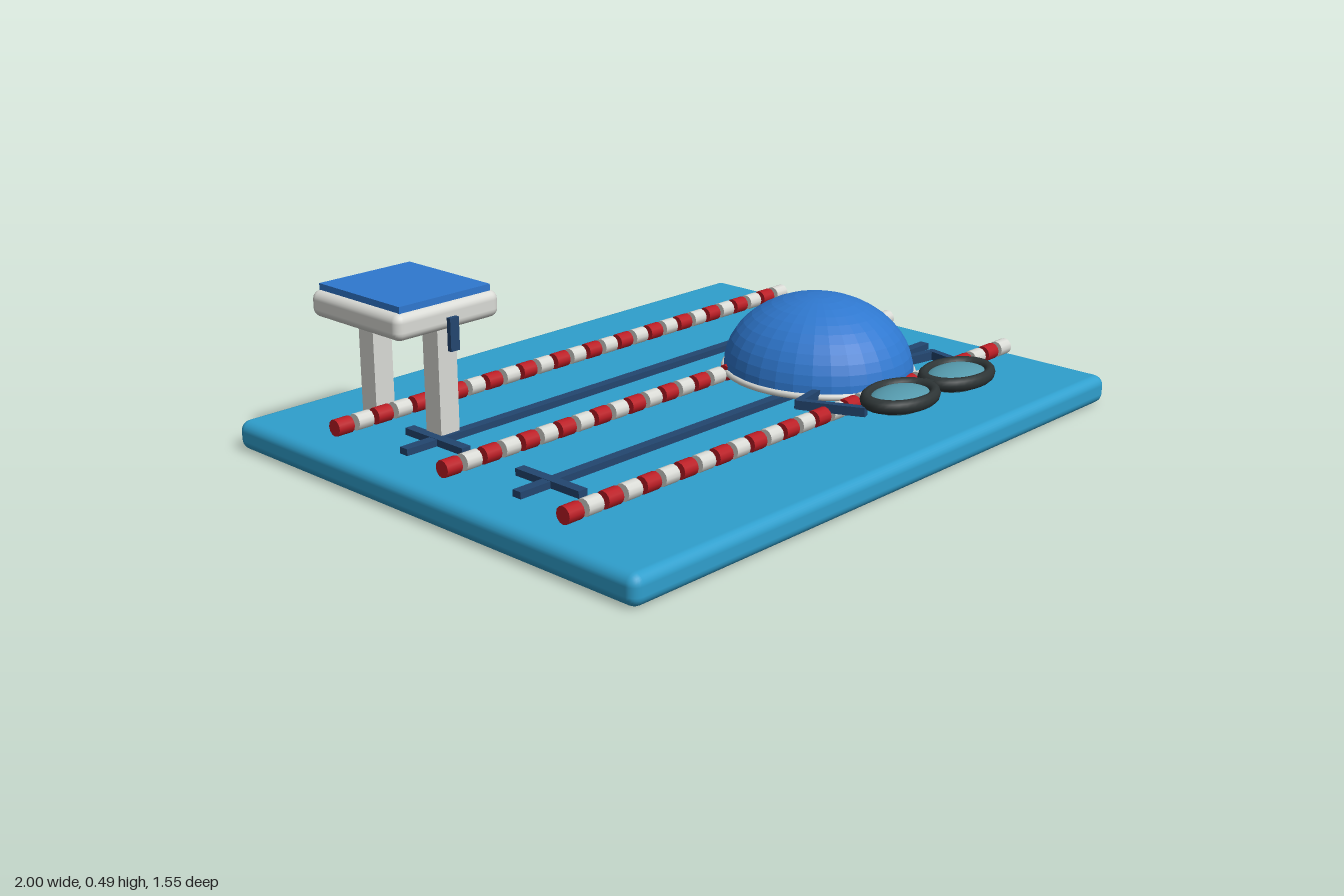
import * as THREE from 'three';
import { RoundedBoxGeometry } from 'three/addons/geometries/RoundedBoxGeometry.js';

const paint = (name, color, flatShading = false) => {
  const m = new THREE.MeshStandardMaterial({ color, flatShading });
  m.name = name;
  return m;
};

export function createModel() {
  const water = paint('water blue', 0x2f9fcd);
  const blue = paint('cap blue', 0x2f78cf, true);
  const white = paint('off white', 0xd9dad5);
  const red = paint('float red', 0xbb1c24);
  const navy = paint('navy', 0x234670);
  const rubber = paint('dark rubber', 0x2e3536);
  const glass = paint('lens teal', 0x559aad);

  const model = new THREE.Group();
  model.name = 'swimmingPoolSet';
  const group = (name) => {
    const g = new THREE.Group();
    g.name = name;
    model.add(g);
    return g;
  };
  const add = (parent, name, geometry, material, x, y, z) => {
    const mesh = new THREE.Mesh(geometry, material);
    mesh.name = name;
    mesh.position.set(x, y, z);
    parent.add(mesh);
    return mesh;
  };
  const box = (w, h, d) => new THREE.BoxGeometry(w, h, d);

  // Pool slab
  add(model, 'poolSlab', new RoundedBoxGeometry(2, 0.085, 1.55, 3, 0.03), water, 0, 0.0425, 0);

  // Lane ropes: alternating red and white floats
  const float = new THREE.CylinderGeometry(0.024, 0.024, 0.05, 12).rotateZ(Math.PI / 2);
  for (const z of [-0.447, 0, 0.447]) {
    const rope = group('laneRope');
    for (let i = 0; i < 28; i++) {
      add(rope, 'float', float, i % 2 ? white : red, -0.885 + i * 0.0669, 0.118, z);
    }
  }

  // Lane lines with crossbars
  for (const z of [-0.222, 0.222]) {
    const line = group('laneLine');
    add(line, 'stripe', box(1.7, 0.024, 0.03), navy, -0.006, 0.092, z);
    add(line, 'crossbar', box(0.03, 0.025, 0.235), navy, -0.74, 0.0925, z);
  }

  // Starting block
  const block = group('startingBlock');
  add(block, 'platform', new RoundedBoxGeometry(0.354, 0.075, 0.376, 3, 0.025), white, -0.696, 0.435, -0.39);
  add(block, 'pad', box(0.31, 0.024, 0.34), blue, -0.696, 0.478, -0.39);
  for (const z of [-0.25, -0.528]) add(block, 'leg', box(0.064, 0.325, 0.062), white, -0.697, 0.242, z);
  add(block, 'handle', box(0.03, 0.092, 0.014), navy, -0.699, 0.391, -0.189);

  // Swim cap: flattened dome with a rolled rim
  const cap = group('swimCap');
  cap.position.set(0.382, 0.123, 0.172);
  const dome = new THREE.SphereGeometry(1, 32, 12, 0, Math.PI * 2, 0, Math.PI / 2);
  add(cap, 'dome', dome.scale(0.267, 0.222, 0.288), blue, 0, 0, 0);
  const rim = new THREE.TorusGeometry(0.265, 0.01, 10, 48).rotateX(Math.PI / 2);
  add(cap, 'rim', rim.scale(1, 1, 1.076), white, 0, -0.002, 0);
  const base = new THREE.CircleGeometry(0.265, 32).rotateX(Math.PI / 2);
  add(cap, 'underside', base.scale(1, 1, 1.076), blue, 0, -0.002, 0);

  // Goggles: oval frames, domed lenses, bridge and bent straps
  const goggles = group('goggles');
  goggles.position.set(0.377, 0, 0);
  const frame = new THREE.TorusGeometry(0.114, 0.02, 10, 32).rotateX(Math.PI / 2).scale(1, 1, 0.72);
  const lens = new THREE.SphereGeometry(1, 24, 12).scale(0.112, 0.034, 0.08);
  const strap = (from, to) => {
    const a = new THREE.Vector3(...from), b = new THREE.Vector3(...to);
    const mid = a.clone().add(b).multiplyScalar(0.5);
    const mesh = add(goggles, 'strap', box(0.022, 0.026, a.distanceTo(b) + 0.015), navy, mid.x, mid.y, mid.z);
    mesh.rotation.order = 'YXZ';
    mesh.lookAt(b.x + goggles.position.x, b.y, b.z);
  };
  goggles.updateMatrixWorld(true);
  for (const s of [-1, 1]) {
    add(goggles, 'frame', frame, rubber, s * 0.132, 0.162, 0.577);
    add(goggles, 'lens', lens, glass, s * 0.132, 0.152, 0.577);
    strap([s * 0.255, 0.14, 0.545], [s * 0.31, 0.132, 0.365]);
    strap([s * 0.31, 0.132, 0.363], [s * 0.2, 0.13, 0.338]);
  }
  add(goggles, 'bridge', box(0.05, 0.02, 0.03), rubber, 0, 0.166, 0.577);

  return model;
}
